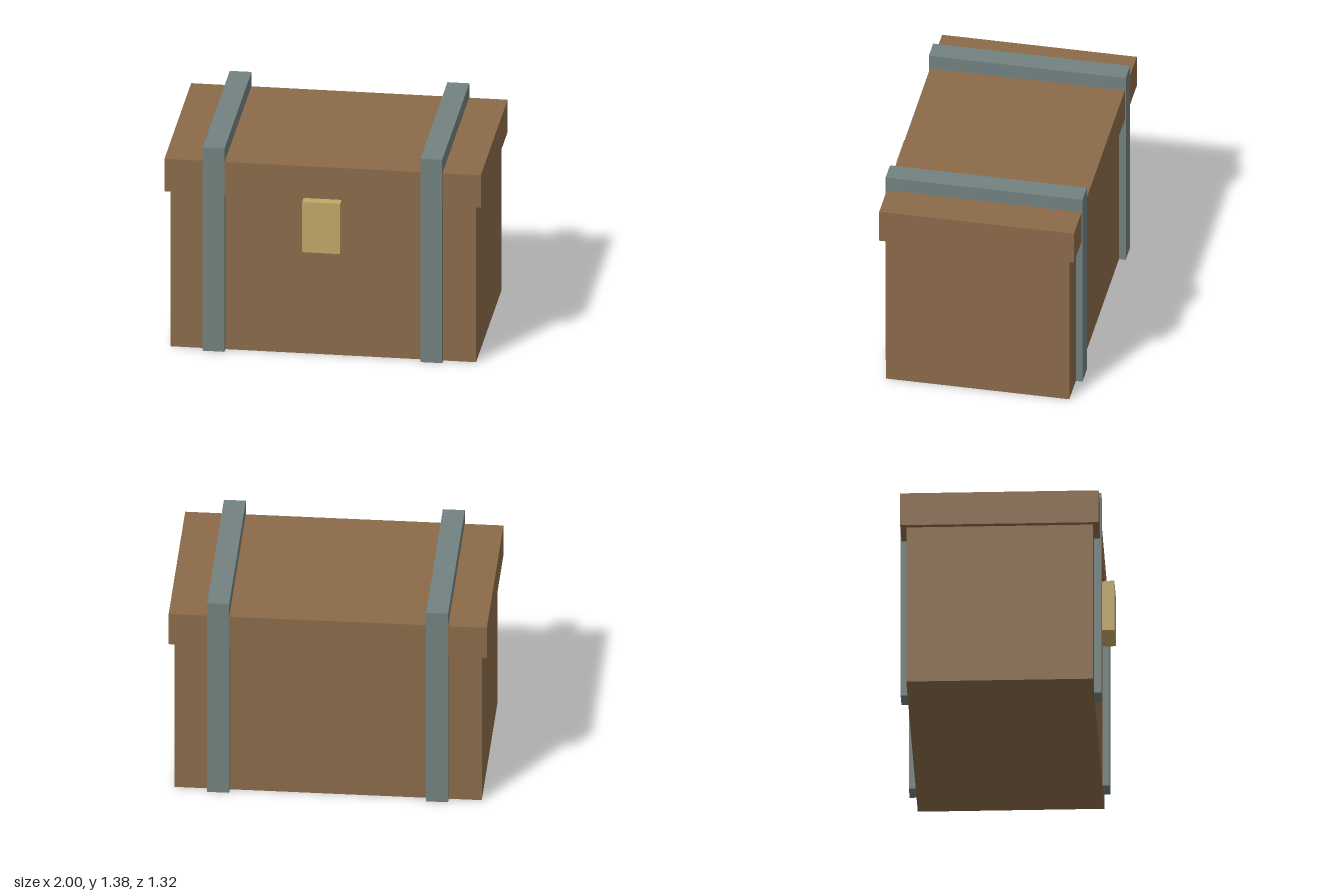
import * as THREE from 'three';

const wood = new THREE.MeshStandardMaterial({ color: 0x8b6b4a });
const iron = new THREE.MeshStandardMaterial({ color: 0x728280 });
const brass = new THREE.MeshStandardMaterial({ color: 0xc0a868 });

// Box given by its lower and upper corners
function block(name, material, [x0, y0, z0], [x1, y1, z1]) {
  const mesh = new THREE.Mesh(new THREE.BoxGeometry(x1 - x0, y1 - y0, z1 - z0), material);
  mesh.position.set((x0 + x1) / 2, (y0 + y1) / 2, (z0 + z1) / 2);
  mesh.name = name;
  return mesh;
}

// Square-cornered strap running up the front, over the lid and down the back
function strap(name, x) {
  const width = 0.138;
  const outline = [
    [-0.6, 0], [-0.555, 0], [-0.555, 1.2], [0.615, 1.2],
    [0.615, 0], [0.658, 0], [0.658, 1.38], [-0.6, 1.38],
  ].map(([a, y]) => new THREE.Vector2(a, y));
  const geometry = new THREE.ExtrudeGeometry(new THREE.Shape(outline), { depth: width, bevelEnabled: false });
  geometry.translate(0, 0, -width / 2).rotateY(Math.PI / 2); // outline x becomes -z
  const mesh = new THREE.Mesh(geometry, iron);
  mesh.position.x = x;
  mesh.name = name;
  return mesh;
}

export function createModel() {
  const chest = new THREE.Group();
  chest.name = 'chest';
  chest.add(
    block('body', wood, [-0.965, 0, -0.615], [0.965, 1.065, 0.555]),
    block('lid', wood, [-1, 1.065, -0.652], [1, 1.285, 0.592]),
    block('latch', brass, [-0.12, 0.728, 0.54], [0.12, 1.069, 0.658]),
    strap('leftStrap', 0.688),
    strap('rightStrap', -0.688),
  );
  return chest;
}
